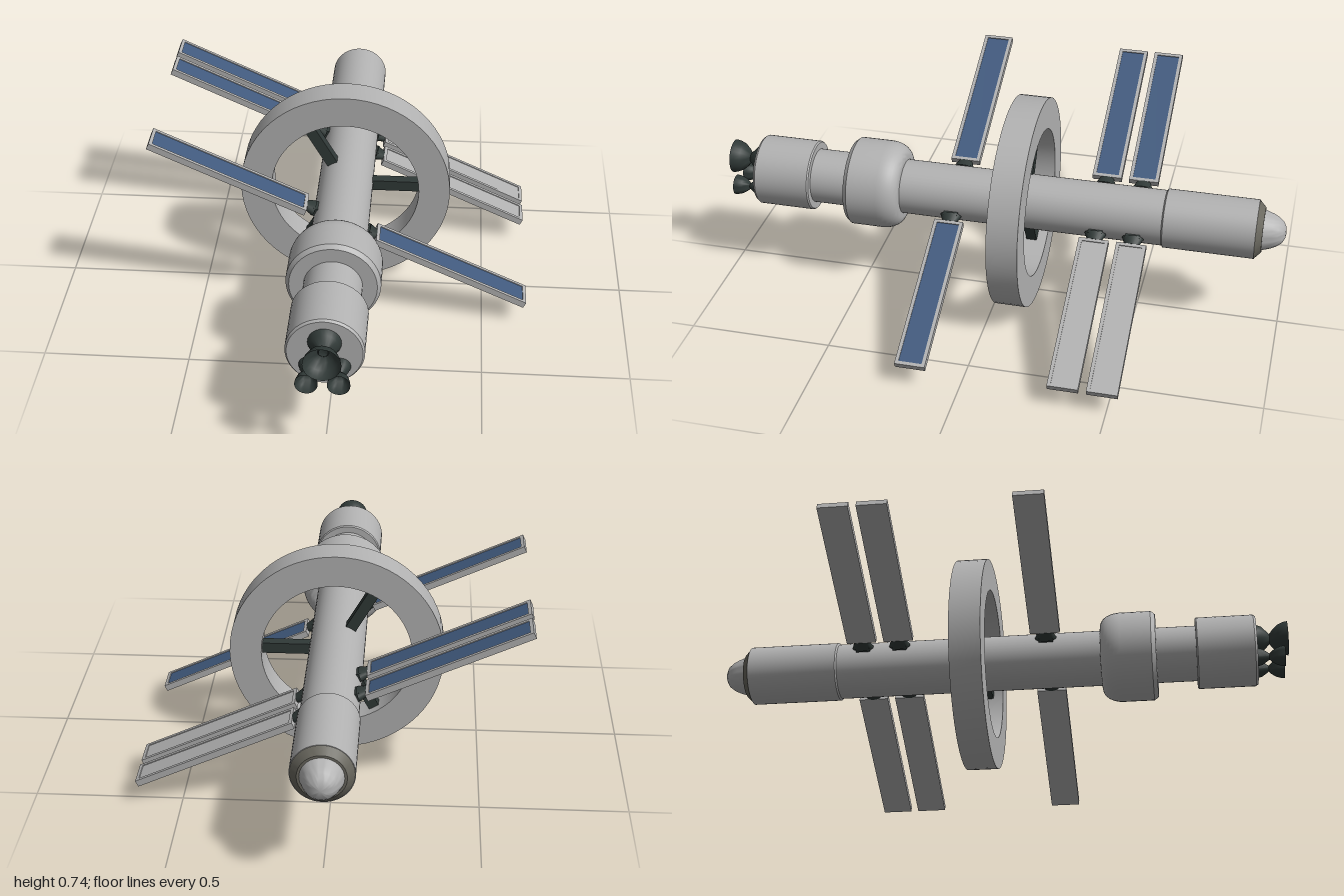
import * as THREE from 'three';
import { toCreasedNormals } from 'three/addons/utils/BufferGeometryUtils.js';

const AXIS_Y = 0.375;
const TILT = -0.433;

const material = (name, color, side = THREE.FrontSide) => {
  const m = new THREE.MeshStandardMaterial({ color, side });
  m.name = name;
  return m;
};

export function createModel() {
  const hull = material('hull grey', 0xb2b2b2);
  const dark = material('dark metal', 0x303937, THREE.DoubleSide);
  const collar = material('collar grey', 0x69675e);
  const solar = material('solar blue', 0x415a7e);

  const model = new THREE.Group();
  model.name = 'spaceStation';
  const station = new THREE.Group();
  station.name = 'station';
  station.position.y = AXIS_Y;
  model.add(station);

  const add = (parent, name, geometry, mat, x = 0, y = 0, z = 0) => {
    const mesh = new THREE.Mesh(geometry, mat);
    mesh.name = name;
    mesh.position.set(x, y, z);
    parent.add(mesh);
    return mesh;
  };
  // Profile of [radius, z] pairs, from back to front, turned about the z axis
  const turned = (profile, segments = 48, crease = 0.55) => {
    const points = profile.map(([r, z]) => new THREE.Vector2(r, z));
    return toCreasedNormals(new THREE.LatheGeometry(points, segments).rotateX(Math.PI / 2), crease);
  };

  // Hull sections
  add(station, 'mainTube', turned([[0.097, -0.6], [0.097, 0.7]]), hull);
  add(station, 'rearModule', turned([[0, -0.9], [0.103, -0.9], [0.103, -0.585], [0.097, -0.58]]), hull);
  add(station, 'noseCollar', turned([[0, -0.922], [0.078, -0.922], [0.103, -0.898]]), collar);
  add(station, 'noseDome', turned([
    [0, -1], [0.02, -0.997], [0.037, -0.988], [0.05, -0.972], [0.06, -0.952], [0.07, -0.922],
  ]), hull);

  // Bulging module: rounded at the back, chamfered at the front
  const bulge = [[0.09, 0.352]];
  for (let i = 0; i <= 8; i++) {
    const a = (i / 8) * Math.PI / 2;
    bulge.push([0.112 + 0.045 * Math.sin(a), 0.422 - 0.07 * Math.cos(a)]);
  }
  bulge.push([0.157, 0.53], [0.145, 0.545], [0.09, 0.545]);
  add(station, 'bulgeModule', turned(bulge), hull);

  add(station, 'engineBlock', turned([
    [0.09, 0.682], [0.121, 0.682], [0.125, 0.687], [0.125, 0.882], [0.119, 0.89], [0, 0.89],
  ]), hull);

  // Engines: mounting cone, narrow throat and open bell
  const engine = (name, x, y, r, length) => {
    const g = new THREE.Group();
    g.name = name;
    g.position.set(x, y, 0.888);
    station.add(g);
    add(g, 'engineMount', turned([[r * 0.9, 0], [r * 0.75, length * 0.2], [r * 0.25, length * 0.46]], 24), dark);
    add(g, 'engineBell', turned([
      [0, length * 0.42], [r * 0.25, length * 0.42], [r * 0.55, length * 0.54],
      [r * 0.82, length * 0.7], [r * 0.96, length * 0.87], [r, length],
    ], 24, 0.9), dark);
  };
  engine('mainEngine', 0, 0.04, 0.06, 0.112);
  for (const s of [-1, 1]) engine('smallEngine', s * 0.05, -0.05, 0.036, 0.096);

  // Habitat ring
  add(station, 'habitatRing', turned([
    [0.262, -0.03], [0.262, -0.138], [0.372, -0.138], [0.372, -0.03], [0.262, -0.03],
  ], 64), hull);

  // Three spokes
  for (let i = 0; i < 3; i++) {
    const a = (i * Math.PI * 2) / 3;
    const spoke = add(station, 'spoke', new THREE.BoxGeometry(0.185, 0.038, 0.038), dark,
      0.1775 * Math.cos(a), 0.1775 * Math.sin(a), -0.084);
    spoke.rotation.z = a;
  }

  // Tilted wings: slab, raised rim, cell plate and root joint
  const INNER = 0.132, OUTER = 0.714, WIDTH = 0.104, RIM = 0.012;
  const length = OUTER - INNER, middle = (INNER + OUTER) / 2;
  const wing = (z, side, plateMaterial) => {
    const g = new THREE.Group();
    g.name = side > 0 ? 'leftWing' : 'rightWing';
    g.position.set(0, 0.003, z);
    g.rotation.z = TILT;
    station.add(g);
    const x = side * middle;
    add(g, 'wingSlab', new THREE.BoxGeometry(length, 0.017, WIDTH), hull, x, -0.003, 0);
    for (const e of [-1, 1]) {
      add(g, 'longRim', new THREE.BoxGeometry(length, 0.006, RIM), hull, x, 0.0085, e * (WIDTH - RIM) / 2);
      add(g, 'endRim', new THREE.BoxGeometry(RIM, 0.006, WIDTH - 2 * RIM), hull,
        x + e * (length - RIM) / 2, 0.0085, 0);
    }
    add(g, 'cellPlate', new THREE.BoxGeometry(length - 2 * RIM, 0.003, WIDTH - 2 * RIM), plateMaterial, x, 0.007, 0);
    const joint = new THREE.CylinderGeometry(0.024, 0.038, 0.03, 16).rotateZ(-side * Math.PI / 2);
    joint.scale(1, 0.55, 1);
    add(g, 'wingJoint', joint, dark, side * 0.118, 0, 0);
    add(g, 'jointBase', new THREE.BoxGeometry(0.03, 0.03, 0.05), dark, side * 0.095, 0, 0);
  };
  for (const z of [0.163, -0.354, -0.485]) {
    wing(z, -1, solar);
    wing(z, 1, z > 0 ? solar : hull);
  }

  return model;
}
